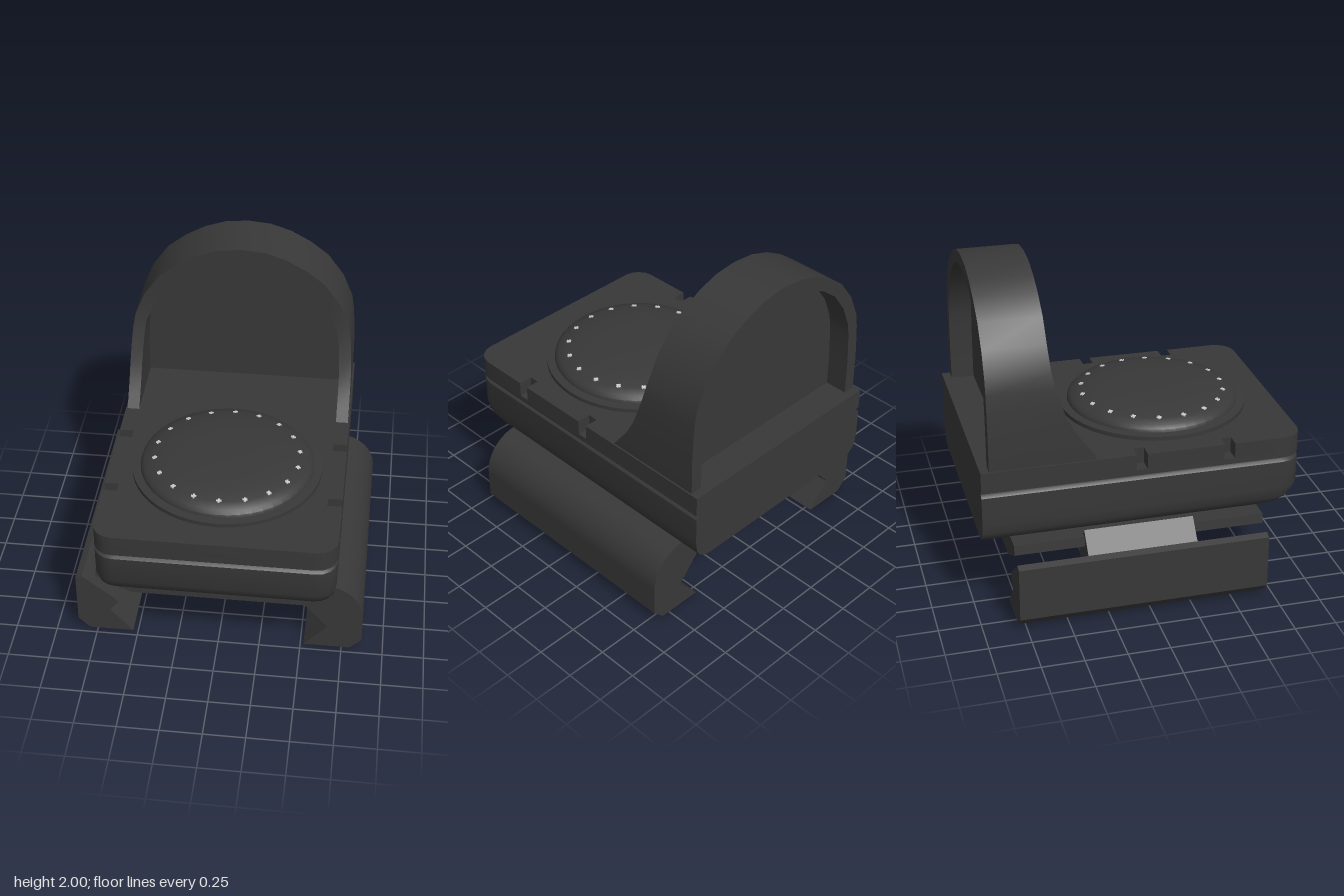
import * as THREE from 'three';
import { toCreasedNormals } from 'three/addons/utils/BufferGeometryUtils.js';

const body = new THREE.MeshStandardMaterial({ color: 0x383838 });
body.name = 'dark grey housing';
const mark = new THREE.MeshStandardMaterial({ color: 0xc8c8c8 });
mark.name = 'light grey marks';

const BACK = -0.96;

function add(group, name, geometry, material = body) {
  const mesh = new THREE.Mesh(geometry, material);
  mesh.name = name;
  group.add(mesh);
  return mesh;
}

// Skin a row of equal-length convex rings of [x, y, z] points and cap both ends
function loft(rings, crease = 0.6) {
  const out = [];
  const n = rings[0].length;
  const tri = (a, b, c) => out.push(...a, ...b, ...c);
  for (let i = 0; i < rings.length - 1; i++) {
    for (let j = 0; j < n; j++) {
      const k = (j + 1) % n;
      tri(rings[i][j], rings[i][k], rings[i + 1][k]);
      tri(rings[i][j], rings[i + 1][k], rings[i + 1][j]);
    }
  }
  const first = rings[0], last = rings[rings.length - 1];
  for (let j = 1; j < n - 1; j++) {
    tri(first[0], first[j + 1], first[j]);
    tri(last[0], last[j], last[j + 1]);
  }
  const g = new THREE.BufferGeometry();
  g.setAttribute('position', new THREE.Float32BufferAttribute(out, 3));
  return toCreasedNormals(g, crease);
}

// Plan outline [x, z]: rounded front corners, square back, optional side notches
function outline(w, front, notched = false) {
  const r = 0.12, half = [];
  for (let i = 0; i <= 4; i++) {
    const a = (Math.PI / 2) * (1 - i / 4);
    half.push([w - r + r * Math.cos(a), front - r + r * Math.sin(a)]);
  }
  if (notched) {
    for (const z of [0.505, -0.022]) {
      half.push([w, z + 0.032], [0.62, z + 0.032], [0.62, z - 0.032], [w, z - 0.032]);
    }
  }
  half.push([w, BACK]);
  return [...half, ...half.map(([x, z]) => [-x, z]).reverse()];
}

// Horizontal slab from a plan outline
function slab(points, y0, y1) {
  const shape = new THREE.Shape(points.map(([x, z]) => new THREE.Vector2(x, -z)));
  const g = new THREE.ExtrudeGeometry(shape, { depth: y1 - y0, bevelEnabled: false });
  return toCreasedNormals(g.rotateX(-Math.PI / 2).translate(0, y0, 0), 0.6);
}

// Front-view profile extruded between two z positions
function bar(shape, z0, z1) {
  const g = new THREE.ExtrudeGeometry(shape, { depth: z1 - z0, bevelEnabled: false, curveSegments: 10 });
  return toCreasedNormals(g.translate(0, 0, z0), 0.5);
}
const poly = (pts) => new THREE.Shape(pts.map(([x, y]) => new THREE.Vector2(x, y)));

// Front edge of the hood at height y
const flare = [[0.96, -0.285], [1.1, -0.39], [1.21, -0.45], [1.39, -0.51], [1.52, -0.538], [1.6, -0.545], [2.1, -0.545]];
function hoodFront(y) {
  let i = 0;
  while (i < flare.length - 2 && y > flare[i + 1][0]) i++;
  const [y0, z0] = flare[i], [y1, z1] = flare[i + 1];
  return THREE.MathUtils.lerp(z0, z1, (y - y0) / (y1 - y0));
}

export function createModel() {
  const model = new THREE.Group();
  model.name = 'reflexSight';

  // Lower housing with rounded underside and a narrow seam on top: [y, half width, front]
  const levels = [
    [0.49, 0.6, 0.77], [0.5, 0.64, 0.82], [0.525, 0.675, 0.885], [0.565, 0.697, 0.93],
    [0.63, 0.705, 0.96], [0.8, 0.705, 0.96], [0.815, 0.692, 0.945], [0.82, 0.68, 0.935], [0.83, 0.68, 0.935],
  ];
  add(model, 'lowerHousing', loft(levels.map(([y, w, f]) => outline(w, f).map(([x, z]) => [x, y, z]))));

  // Top plate with four side notches
  add(model, 'topPlateBase', slab(outline(0.705, 0.96), 0.83, 0.865));
  add(model, 'topPlateNotched', slab(outline(0.705, 0.96, true), 0.865, 0.96));

  // Hood arch: outer half outline mirrored, inner one scaled from it
  const right = [
    [0.695, 0.96], [0.695, 1.03], [0.695, 1.1], [0.694, 1.21], [0.688, 1.32], [0.68, 1.42], [0.665, 1.51],
    [0.604, 1.655], [0.505, 1.79], [0.388, 1.88], [0.268, 1.945], [0.14, 1.987], [0, 2],
  ];
  const arch = [...right, ...right.slice(0, -1).reverse().map(([x, y]) => [-x, y])];
  const inner = arch.map(([x, y]) => [x * 0.893, 0.96 + (y - 0.96) * 0.928]);
  add(model, 'hood', loft(arch.map(([x, y], i) => {
    const [u, v] = inner[i];
    return [[x, y, hoodFront(y)], [x, y, -0.91], [u, v, -0.91], [u, v, hoodFront(v)]];
  })));

  // Window pane set into the hood
  add(model, 'windowPane', bar(poly(inner), -0.77, -0.75));

  // Round battery cap with a domed top
  const dial = new THREE.Group();
  dial.name = 'dial';
  dial.position.set(0, 0, 0.23);
  model.add(dial);
  const profile = [
    [0.57, 0.96], [0.57, 0.985], [0.52, 0.988], [0.515, 1.005], [0.495, 1.025],
    [0.44, 1.043], [0.36, 1.059], [0.26, 1.07], [0.13, 1.074], [0, 1.075],
  ].map(([r, y]) => new THREE.Vector2(r, y));
  add(dial, 'dialCap', toCreasedNormals(new THREE.LatheGeometry(profile, 48), 0.5));

  // Ring of small cross marks
  for (let i = 0; i < 18; i++) {
    const a = (i * Math.PI) / 9;
    for (const [w, d] of [[0.03, 0.012], [0.012, 0.03]]) {
      const m = add(dial, 'dialMark', new THREE.BoxGeometry(w, 0.008, d), mark);
      m.position.set(0.435 * Math.sin(a), 1.045, -0.435 * Math.cos(a));
      m.rotation.set(-0.2 * Math.cos(a), 0, -0.2 * Math.sin(a));
    }
  }

  // Rail mount with one rounded hooked side
  const Z0 = -0.79, Z1 = 0.71;
  const mount = new THREE.Shape();
  mount.moveTo(-0.74, 0.49);
  mount.lineTo(-0.746, 0.43);
  mount.lineTo(-0.587, 0.344);
  for (const [x, y] of [[-0.53, 0.32], [0.52, 0.32], [0.66, 0.16], [0.52, 0], [0.8, 0], [0.87, 0.07], [0.87, 0.25]]) mount.lineTo(x, y);
  mount.absarc(0.63, 0.25, 0.24, 0, Math.PI / 2, false);
  add(model, 'railMount', bar(mount, Z0, Z1));

  // Separate clamp jaw joined to the mount by a slanted tongue
  add(model, 'clampJaw', bar(poly([
    [-0.8, 0], [-0.53, 0], [-0.667, 0.16], [-0.614, 0.228], [-0.65, 0.27], [-0.83, 0.415], [-0.87, 0.4], [-0.87, 0.07],
  ]), Z0, Z1));
  add(model, 'clampTongue', bar(poly([[-0.83, 0.415], [-0.65, 0.268], [-0.587, 0.344], [-0.73, 0.53]]), -0.375, 0.28));

  return model;
}
